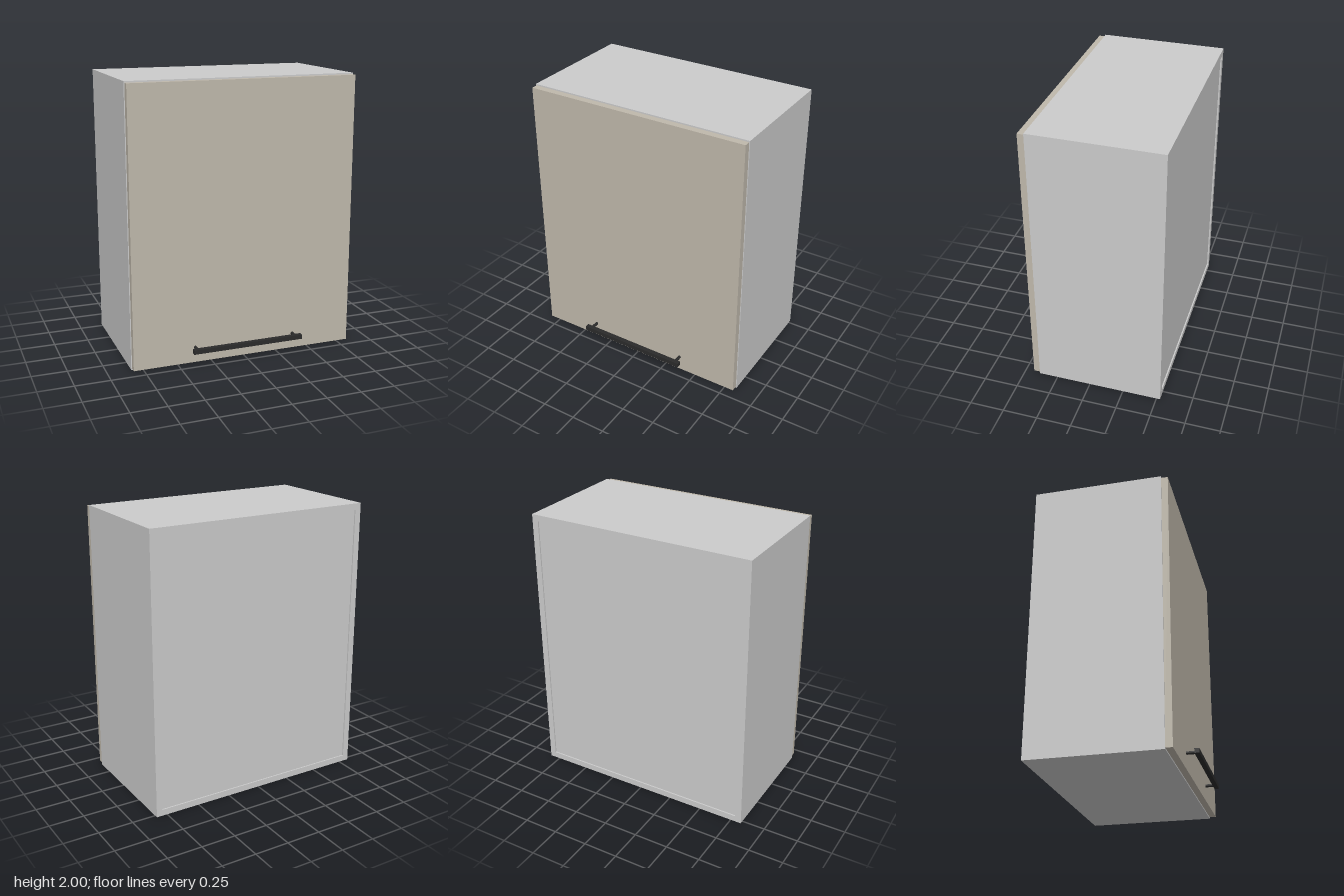
import * as THREE from 'three';

const grey = new THREE.MeshStandardMaterial({ color: 0xcccccc });
const beige = new THREE.MeshStandardMaterial({ color: 0xbfb8ab });
const black = new THREE.MeshStandardMaterial({ color: 0x2b2b2b });

// Box given by its minimum and maximum along each axis
function panel(name, material, [x0, x1], [y0, y1], [z0, z1]) {
  const mesh = new THREE.Mesh(new THREE.BoxGeometry(x1 - x0, y1 - y0, z1 - z0), material);
  mesh.position.set((x0 + x1) / 2, (y0 + y1) / 2, (z0 + z1) / 2);
  mesh.name = name;
  return mesh;
}

export function createModel() {
  const model = new THREE.Group();
  model.name = 'wallCabinet';

  const W = 0.83, H = 2, T = 0.045; // half width, height, board thickness
  const back = -0.527, front = 0.388, doorFront = 0.435;
  const inner = [-W + T, W - T];

  // Carcass boards, with the back panel set slightly in
  const carcass = new THREE.Group();
  carcass.name = 'carcass';
  carcass.add(
    panel('rightSide', grey, [-W, -W + T], [0, H], [back, front]),
    panel('leftSide', grey, [W - T, W], [0, H], [back, front]),
    panel('bottomBoard', grey, inner, [0, T], [back, front]),
    panel('topBoard', grey, inner, [H - T, H], [back, front]),
    panel('backPanel', grey, inner, [T, H - T], [back + 0.01, back + 0.03])
  );
  model.add(carcass);

  // Door, a little smaller than the carcass
  model.add(panel('door', beige, [-W + 0.006, W - 0.006], [0.01, H - 0.01], [front, doorFront]));

  // Bar handle on two posts
  const handle = new THREE.Group();
  handle.name = 'handle';
  const barBack = 0.494, barY = 0.122;
  handle.add(panel('handleBar', black, [-0.413, 0.413], [barY - 0.016, barY + 0.016], [barBack, 0.527]));
  for (const side of [-1, 1]) {
    const post = new THREE.Mesh(new THREE.CylinderGeometry(0.011, 0.011, barBack - doorFront, 24), black);
    post.rotation.x = Math.PI / 2;
    post.position.set(side * 0.374, barY, (barBack + doorFront) / 2);
    post.name = 'handlePost';
    handle.add(post);
  }
  model.add(handle);

  return model;
}
